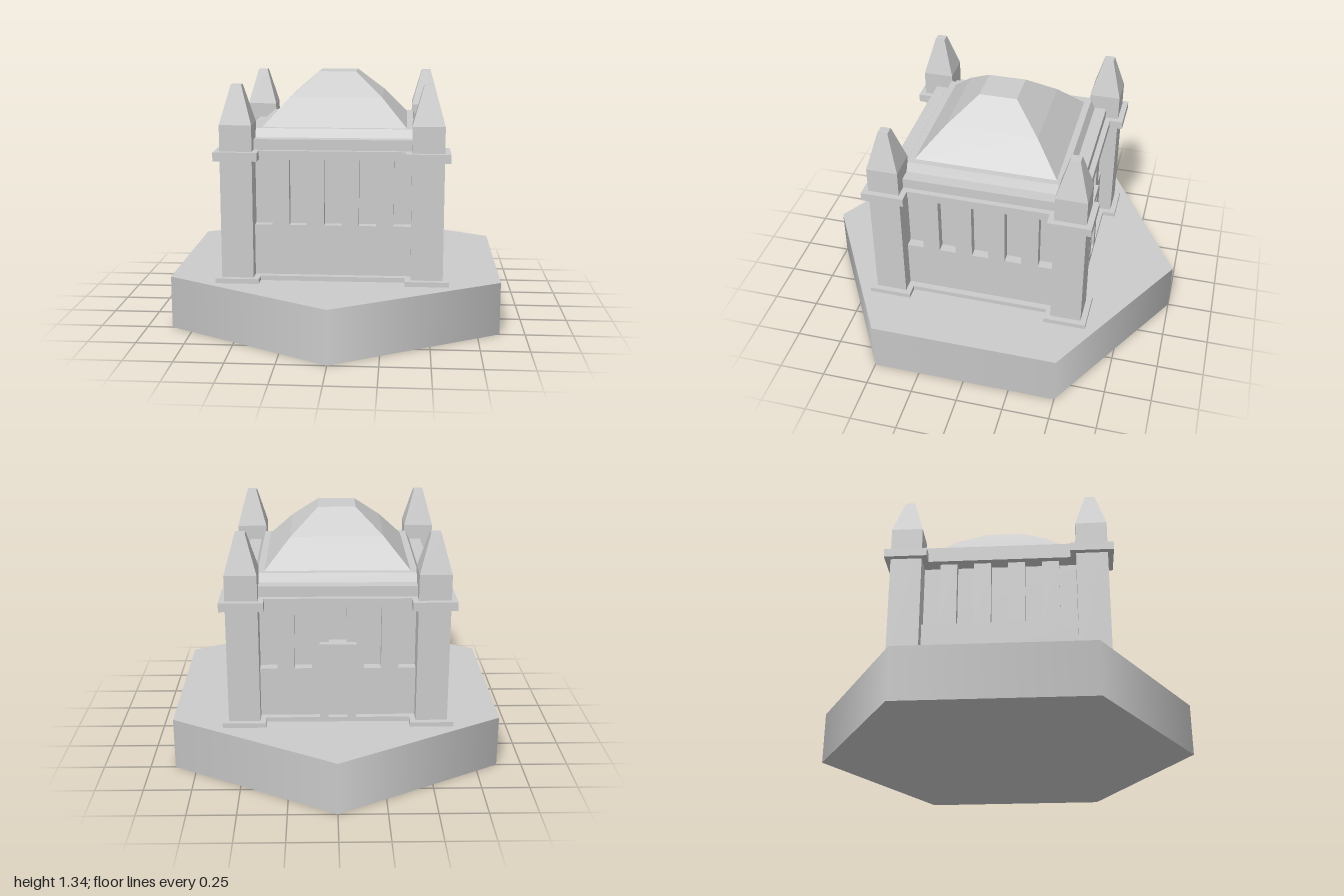
import * as THREE from 'three';

const smooth = new THREE.MeshStandardMaterial({ color: 0xcccccc });
const flat = new THREE.MeshStandardMaterial({ color: 0xcccccc, flatShading: true });

function add(parent, name, geometry, material = flat) {
  const mesh = new THREE.Mesh(geometry, material);
  mesh.name = name;
  parent.add(mesh);
  return mesh;
}

// box standing between heights y0 and y1, centred on x, z
function block(parent, name, w, d, y0, y1, x = 0, z = 0) {
  const mesh = add(parent, name, new THREE.BoxGeometry(w, y1 - y0, d));
  mesh.position.set(x, (y0 + y1) / 2, z);
  return mesh;
}

// square frustum given by its half widths at heights y0 and y1
function frustum(parent, name, h0, h1, y0, y1) {
  const g = new THREE.CylinderGeometry(h1 * Math.SQRT2, h0 * Math.SQRT2, y1 - y0, 4);
  g.rotateY(Math.PI / 4);
  const mesh = add(parent, name, g);
  mesh.position.y = (y0 + y1) / 2;
  return mesh;
}

export function createModel() {
  const model = new THREE.Group();
  model.name = 'mausoleum';

  // hexagonal plinth
  add(model, 'plinth', new THREE.CylinderGeometry(1, 1, 0.28, 6), smooth).position.y = 0.14;

  const building = new THREE.Group();
  building.name = 'building';
  building.position.x = -0.008;
  model.add(building);

  // walls: solid lower part, set-back core behind the window slots
  block(building, 'lowerWall', 0.99, 0.99, 0.28, 0.57);
  block(building, 'wallCore', 0.89, 0.89, 0.57, 0.92);

  // four pilasters per side leave five slots
  for (let side = 0; side < 4; side++) {
    const face = new THREE.Group();
    face.name = 'wallFace';
    face.rotation.y = side * Math.PI / 2;
    building.add(face);
    for (let i = 0; i < 4; i++) {
      block(face, 'pilaster', 0.09, 0.06, 0.57, 0.92, (i - 1.5) * 0.18, 0.465);
    }
  }

  // base moulding and cornice
  block(building, 'baseMoulding', 1.06, 1.06, 0.28, 0.305);
  block(building, 'cornice', 1.06, 1.06, 0.92, 0.965);

  // corner towers with mouldings and tapered caps
  for (const x of [-0.488, 0.488]) {
    for (const z of [-0.488, 0.488]) {
      const tower = new THREE.Group();
      tower.name = 'cornerTower';
      tower.position.set(x, 0, z);
      building.add(tower);
      block(tower, 'towerShaft', 0.165, 0.165, 0.28, 1.1);
      block(tower, 'towerBase', 0.226, 0.226, 0.28, 0.305);
      block(tower, 'towerCornice', 0.226, 0.226, 0.92, 0.965);
      frustum(tower, 'towerCap', 0.0825, 0.026, 1.1, 1.3);
    }
  }

  // stepped roof
  block(building, 'parapet', 1, 1, 0.965, 1.02);
  frustum(building, 'roofCurb', 0.435, 0.412, 1.02, 1.065);
  frustum(building, 'lowerRoof', 0.377, 0.245, 1.065, 1.21);
  frustum(building, 'upperRoof', 0.245, 0.1, 1.21, 1.335);

  // doorway on the back wall
  const door = new THREE.Group();
  door.name = 'doorway';
  door.position.z = -0.495;
  building.add(door);
  for (const s of [-1, 1]) block(door, 'doorJamb', 0.045, 0.07, 0.28, 0.67, s * 0.0725, 0);
  block(door, 'doorLintel', 0.19, 0.07, 0.67, 0.715);
  block(door, 'doorPanel', 0.1, 0.02, 0.28, 0.67, 0, 0.005);

  return model;
}
